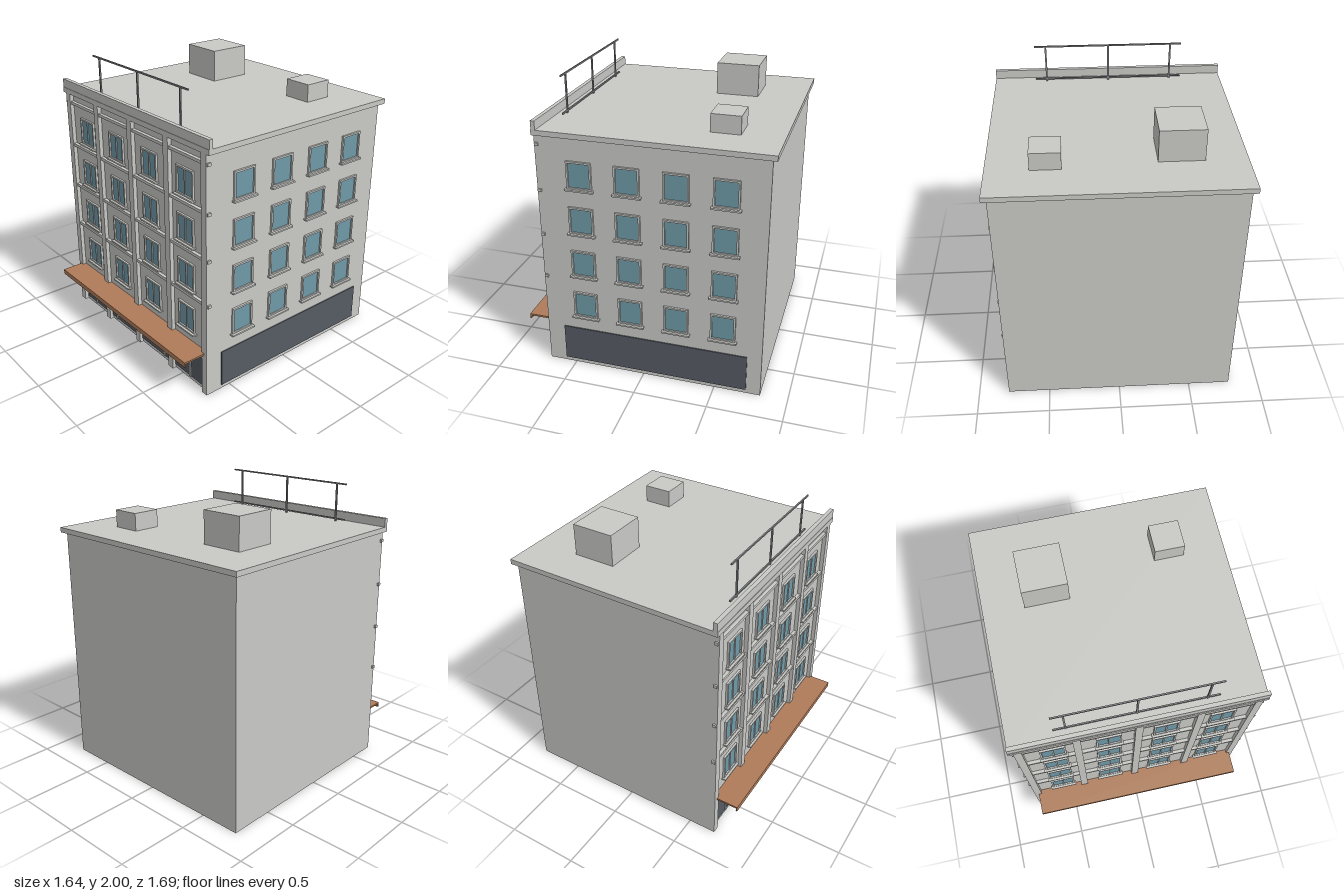
import * as THREE from 'three';

const mat = (name, color) => {
  const m = new THREE.MeshStandardMaterial({ color });
  m.name = name;
  return m;
};

export function createModel() {
  const model = new THREE.Group();
  model.name = 'cornerBuilding';
  const wall = mat('wallGrey', 0xc9c9c6);
  const glass = mat('windowBlue', 0x6f9aa8);
  const dark = mat('shopGlassDark', 0x565c64);
  const brown = mat('awningBrown', 0xae7b59);
  const metal = mat('railGrey', 0x85878a);

  // Box given by its minimum and maximum on each axis
  const box = (name, m, [x0, x1], [y0, y1], [z0, z1], parent = model) => {
    const mesh = new THREE.Mesh(new THREE.BoxGeometry(x1 - x0, y1 - y0, z1 - z0), m);
    mesh.position.set((x0 + x1) / 2, (y0 + y1) / 2, (z0 + z1) / 2);
    mesh.name = name;
    parent.add(mesh);
    return mesh;
  };

  const W = 0.79, FRONT = 0.667, ROOF = 1.728;

  // Main mass, roof slab and front parapet
  box('body', wall, [-W, W], [0, 1.695], [-0.815, FRONT]);
  box('roofSlab', wall, [-0.82, 0.82], [1.693, ROOF], [-0.845, 0.698]);
  box('parapet', wall, [-0.82, 0.82], [ROOF, 1.788], [0.667, 0.695]);

  // Front pilasters and the floor bands between them
  for (const x of [-0.765, -0.398, 0, 0.396, 0.765])
    box('pilaster', wall, [x - 0.025, x + 0.025], [0, 1.694], [FRONT - 0.002, 0.695]);
  for (let i = 0; i < 4; i++) {
    const y = 0.677 + i * 0.317;
    box('floorBand', wall, [-0.802, 0.802], [y - 0.01, y + 0.01], [FRONT - 0.001, 0.69]);
  }

  // Window facing +z, centred on its own origin
  const makeWindow = (split) => {
    const g = new THREE.Group();
    g.name = 'window';
    const w = 0.084, h = 0.095, t = 0.012;
    const shape = new THREE.Shape();
    shape.moveTo(-w, -h).lineTo(w, -h).lineTo(w, h).lineTo(-w, h).closePath();
    const hole = new THREE.Path();
    hole.moveTo(-w + t, -h + t).lineTo(-w + t, h - t).lineTo(w - t, h - t).lineTo(w - t, -h + t).closePath();
    shape.holes.push(hole);
    const frame = new THREE.Mesh(new THREE.ExtrudeGeometry(shape, { depth: 0.014, bevelEnabled: false }), wall);
    frame.name = 'windowFrame';
    g.add(frame);
    box('windowPane', glass, [-w + t, w - t], [-h + t, h - t], [0, 0.004], g);
    if (split) box('windowMullion', wall, [-0.005, 0.005], [-h + t, h - t], [0, 0.01], g);
    box('windowSill', wall, [-0.095, 0.095], [-h - 0.009, -h + 0.002], [0, 0.03], g);
    return g;
  };

  // Four floors of windows on the front and on the +x side
  for (let i = 0; i < 4; i++) {
    const y = 0.488 + i * 0.318;
    for (const x of [-0.558, -0.192, 0.188, 0.56]) {
      const win = makeWindow(true);
      win.position.set(x, y, FRONT);
      model.add(win);
    }
    for (const z of [0.402, 0.085, -0.233, -0.55]) {
      const win = makeWindow(false);
      win.rotation.y = Math.PI / 2;
      win.position.set(W, y, z);
      model.add(win);
    }
  }

  // Ground floor shop glazing
  box('shopGlassFront', dark, [-0.725, 0.725], [0.03, 0.29], [FRONT, FRONT + 0.006]);
  box('shopGlassSide', dark, [W, W + 0.008], [0.03, 0.29], [-0.718, 0.573]);
  for (const x of [-0.597, -0.303, 0.297, 0.592])
    box('shopMullion', wall, [x - 0.007, x + 0.007], [0.03, 0.29], [FRONT, FRONT + 0.014]);

  // Flat awning with a hanging front edge
  box('awningTop', brown, [-0.763, 0.763], [0.303, 0.316], [0.667, 0.848]);
  box('awningEdge', brown, [-0.763, 0.763], [0.28, 0.316], [0.84, 0.85]);

  // Roof boxes
  box('stairHouse', wall, [-0.547, -0.25], [ROOF, 1.948], [-0.523, -0.228]);
  box('ventBox', wall, [0.345, 0.544], [ROOF, 1.848], [-0.573, -0.377]);

  // Roof sign frame
  for (const y of [1.745, 1.995])
    box('frameRail', metal, [-0.526, 0.526], [y - 0.005, y + 0.005], [0.606, 0.616]);
  for (const x of [-0.447, 0, 0.447])
    box('framePost', metal, [x - 0.006, x + 0.006], [ROOF, 1.995], [0.606, 0.616]);

  return model;
}
